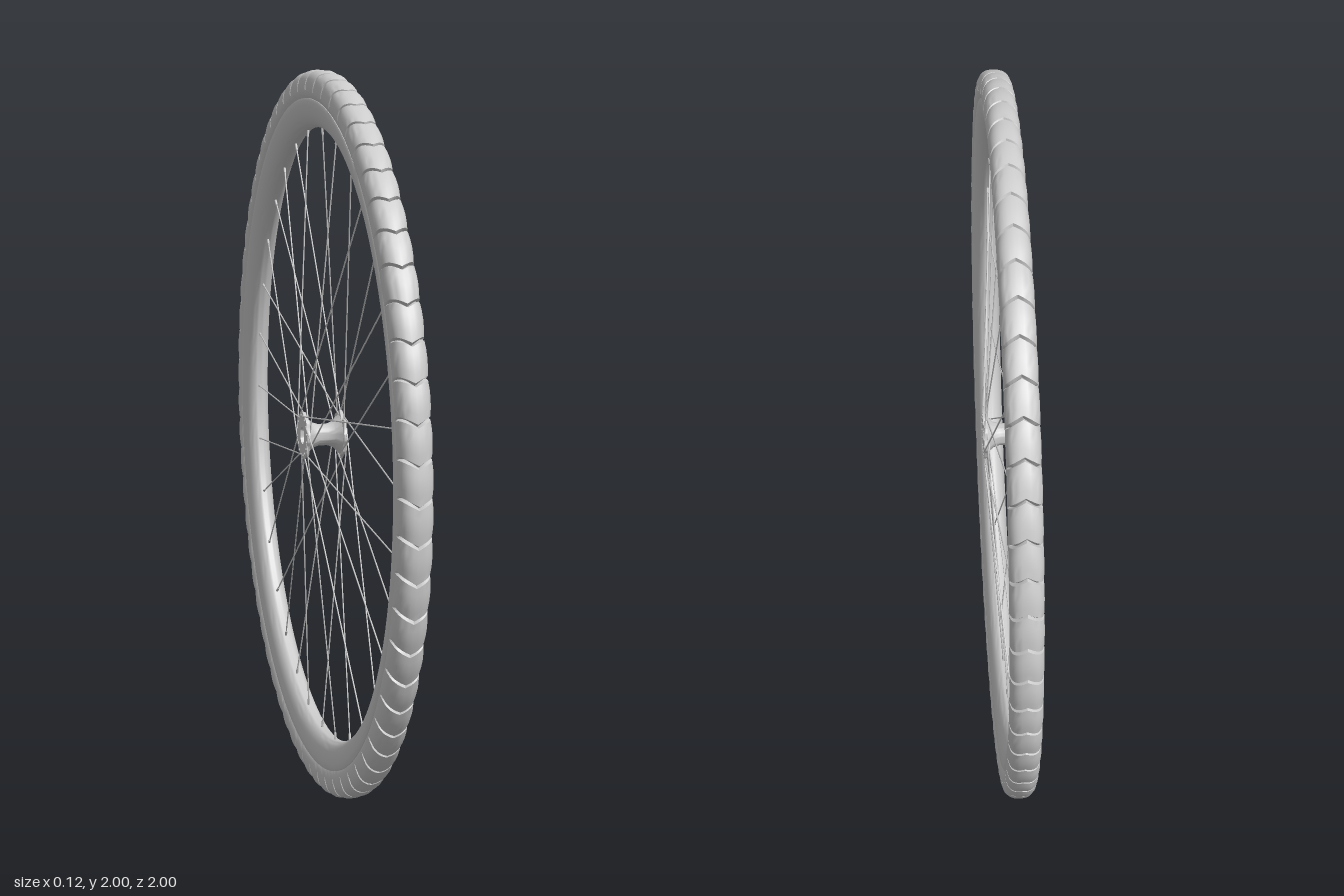
import * as THREE from 'three';
import { toCreasedNormals } from 'three/addons/utils/BufferGeometryUtils.js';

const material = new THREE.MeshStandardMaterial({ color: 0xcccccc });
const SPOKES = 32;
const BLOCKS = 64;
const FLANGE_X = 0.052;

function part(name, geometry, parent) {
  const mesh = new THREE.Mesh(geometry, material);
  mesh.name = name;
  parent.add(mesh);
  return mesh;
}

// Lathe about the x axis; profile entries are [radius, x]
function latheX(profile, segments) {
  const points = profile.map(([r, x]) => new THREE.Vector2(r, x));
  return new THREE.LatheGeometry(points, segments).rotateZ(Math.PI / 2);
}

// Rounded tyre cut by shallow V-shaped tread grooves
function tyreGeometry() {
  const n = 28;
  const profile = [];
  for (let i = 0; i <= n; i++) {
    const a = -Math.PI + (i / n) * Math.PI * 2;
    const c = Math.cos(a), s = Math.sin(a);
    profile.push([
      0.955 + 0.045 * Math.sign(c) * Math.abs(c) ** 0.85,
      0.043 * Math.sign(s) * Math.abs(s) ** 0.8,
    ]);
  }
  const steps = [0, 0.05, 0.1, 0.32, 0.55, 0.78];
  const drops = [0.003, 0.014, 0.003, 0.0008, 0, 0.0008];
  const geometry = latheX(profile, BLOCKS * steps.length);
  const pos = geometry.attributes.position;
  for (let v = 0; v < pos.count; v++) {
    const column = Math.floor(v / (n + 1));
    const [r, x] = profile[v % (n + 1)];
    const k = column % steps.length;
    const block = Math.floor(column / steps.length) + steps[k];
    const angle = (block / BLOCKS) * Math.PI * 2 + 0.5 * Math.abs(x);
    const depth = THREE.MathUtils.smoothstep(r, 0.948, 0.965) * drops[k];
    // the grooves cut towards the centre of the tyre section
    const scale = 1 - depth / 0.045;
    const radius = 0.955 + (r - 0.955) * scale;
    pos.setXYZ(v, -x * scale, radius * Math.sin(angle), radius * Math.cos(angle));
  }
  return toCreasedNormals(geometry, 0.6);
}

// Deep rounded rim, open outwards into the tyre
function rimGeometry() {
  const profile = [];
  const n = 20;
  for (let i = 0; i <= n; i++) {
    const a = (i / n) * Math.PI;
    const s = Math.sin(a);
    profile.push([0.918 - 0.073 * s ** 0.9, 0.039 * Math.cos(a)]);
  }
  profile.push([0.924, -0.036], [0.924, 0.036], profile[0]);
  return toCreasedNormals(latheX(profile, 128), 0.7);
}

// Hollow waisted hub body
function hubGeometry() {
  const hole = 0.024;
  return toCreasedNormals(latheX([
    [hole, -0.05], [0.056, -0.05], [0.05, -0.044], [0.036, -0.03], [0.03, -0.012],
    [0.03, 0.012], [0.036, 0.03], [0.05, 0.044], [0.056, 0.05], [hole, 0.05], [hole, -0.05],
  ], 40), 0.5);
}

// Scalloped flange plate with the axle hole
function flangeGeometry() {
  const shape = new THREE.Shape();
  const n = 96;
  for (let i = 0; i < n; i++) {
    const a = (i / n) * Math.PI * 2;
    const r = 0.063 + 0.003 * Math.cos(8 * a);
    if (i === 0) shape.moveTo(r, 0);
    else shape.lineTo(r * Math.cos(a), r * Math.sin(a));
  }
  const hole = new THREE.Path();
  hole.absarc(0, 0, 0.024, 0, Math.PI * 2, true);
  shape.holes.push(hole);
  const geometry = new THREE.ExtrudeGeometry(shape, { depth: 0.009, bevelEnabled: false, curveSegments: 24 });
  geometry.translate(0, 0, -0.0045).rotateY(Math.PI / 2);
  return toCreasedNormals(geometry, 0.6);
}

// Straight round bar between two points
function rod(name, from, to, radius, sides, parent) {
  const along = new THREE.Vector3().subVectors(to, from);
  const mesh = part(name, new THREE.CylinderGeometry(radius, radius, along.length(), sides), parent);
  mesh.position.addVectors(from, to).multiplyScalar(0.5);
  mesh.quaternion.setFromUnitVectors(new THREE.Vector3(0, 1, 0), along.normalize());
}

// Point on the wheel, angle measured from the top towards -z
function polar(x, radius, angle) {
  return new THREE.Vector3(x, radius * Math.cos(angle), -radius * Math.sin(angle));
}

export function createModel() {
  const model = new THREE.Group();
  model.name = 'spokedWheel';
  const wheel = new THREE.Group();
  wheel.name = 'wheel';
  wheel.position.y = 1;
  model.add(wheel);

  part('tyre', tyreGeometry(), wheel);
  part('rim', rimGeometry(), wheel);

  const hub = new THREE.Group();
  hub.name = 'hub';
  wheel.add(hub);
  part('hubBody', hubGeometry(), hub);
  const flange = flangeGeometry();
  for (const side of [-1, 1]) part('hubFlange', flange, hub).position.x = side * FLANGE_X;

  // Crossed spokes: alternate flanges, pairs leaning each way
  const spokes = new THREE.Group();
  spokes.name = 'spokes';
  wheel.add(spokes);
  for (let k = 0; k < SPOKES; k++) {
    const side = k % 2 ? -1 : 1;
    const lean = k % 4 < 2 ? 1 : -1;
    const rimAngle = (k / SPOKES) * Math.PI * 2;
    const hubAngle = rimAngle + lean * Math.PI * 0.375;
    const inner = polar(side * (FLANGE_X + lean * 0.005), 0.056, hubAngle);
    const outer = polar(0, 0.852, rimAngle);
    rod('spoke', inner, outer, 0.002, 6, spokes);
    rod('spokeNipple', outer.clone().lerp(inner, 0.03), outer, 0.0035, 8, spokes);
    // spoke head hooked through the flange
    const head = part('spokeHead', new THREE.SphereGeometry(0.004, 8, 6), spokes);
    head.position.copy(polar(side * (FLANGE_X + 0.004), 0.056, hubAngle));
  }
  return model;
}
